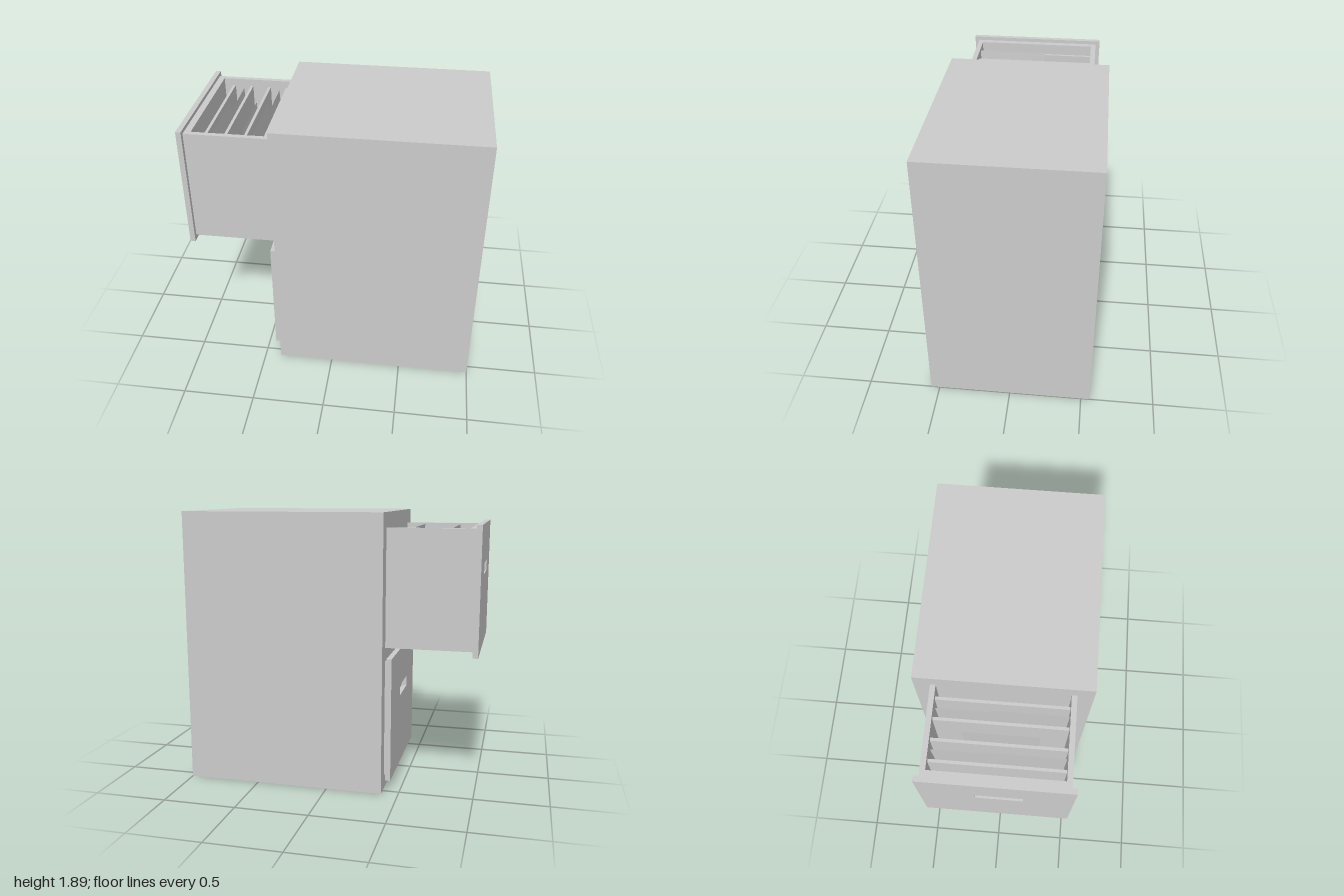
import * as THREE from 'three';

const material = new THREE.MeshStandardMaterial({ color: 0xcccccc, flatShading: true });
const sheetMaterial = new THREE.MeshStandardMaterial({ color: 0xcccccc, flatShading: true, side: THREE.DoubleSide });

// Box given by its min and max on each axis
function box(parent, name, [x0, x1], [y0, y1], [z0, z1]) {
  const mesh = new THREE.Mesh(new THREE.BoxGeometry(x1 - x0, y1 - y0, z1 - z0), material);
  mesh.position.set((x0 + x1) / 2, (y0 + y1) / 2, (z0 + z1) / 2);
  mesh.name = name;
  parent.add(mesh);
}

function rectangle(PathType, u0, u1, v0, v1) {
  return new PathType([[u0, v0], [u1, v0], [u1, v1], [u0, v1]].map(([u, v]) => new THREE.Vector2(u, v)));
}

// Drawer front with a slot cut through as a finger pull, facing -x
function drawerFront(parent, x, y) {
  const shape = rectangle(THREE.Shape, -0.485, 0.485, 0, 0.855);
  shape.holes.push(rectangle(THREE.Path, -0.13, 0.17, 0.51, 0.585));
  const geometry = new THREE.ExtrudeGeometry(shape, { depth: 0.036, bevelEnabled: false });
  const mesh = new THREE.Mesh(geometry, material);
  mesh.rotation.y = -Math.PI / 2;
  mesh.position.set(x + 0.036, y, 0);
  mesh.name = 'drawerFront';
  parent.add(mesh);
}

// Paper leaning towards -x at its top edge
function leaningSheet(parent, xTop, xBottom, yTop, z0, z1) {
  const yBottom = 1.03;
  const geometry = new THREE.PlaneGeometry(z1 - z0, yTop - yBottom);
  const p = geometry.attributes.position;
  for (let i = 0; i < p.count; i++) {
    const top = p.getY(i) > 0;
    p.setXYZ(i, top ? xTop : xBottom, top ? yTop : yBottom, (z0 + z1) / 2 - p.getX(i));
  }
  geometry.computeVertexNormals();
  const mesh = new THREE.Mesh(geometry, sheetMaterial);
  mesh.name = 'paperSheet';
  parent.add(mesh);
}

export function createModel() {
  const model = new THREE.Group();
  model.name = 'filingCabinet';

  box(model, 'cabinetBody', [-0.385, 1], [0, 1.89], [-0.56, 0.56]);

  // Open upper drawer
  const upper = new THREE.Group();
  upper.name = 'openDrawer';
  model.add(upper);
  drawerFront(upper, -1, 0.96);
  box(upper, 'drawerFloor', [-0.964, -0.385], [0.995, 1.03], [-0.455, 0.455]);
  box(upper, 'drawerInnerFront', [-0.964, -0.92], [1.03, 1.79], [-0.455, 0.455]);
  for (const s of [-1, 1]) {
    const z = [s * 0.42, s * 0.455].sort((a, b) => a - b);
    box(upper, 'drawerSide', [-0.92, -0.385], [1.03, 1.79], z);
  }

  // Upright dividers
  for (let i = 0; i < 4; i++) {
    const x = -0.86 + i * 0.132;
    box(upper, 'divider', [x, x + 0.02], [1.03, 1.74], [-0.42, 0.42]);
  }

  // Papers between the dividers
  for (const x of [-0.785, -0.521]) {
    leaningSheet(upper, x, x + 0.036, 1.78, -0.075, 0.415);
    leaningSheet(upper, x + 0.008, x + 0.042, 1.72, -0.415, -0.075);
  }
  leaningSheet(upper, -0.645, -0.61, 1.7, -0.24, 0.25);

  // Closed lower drawer
  const lower = new THREE.Group();
  lower.name = 'closedDrawer';
  model.add(lower);
  drawerFront(lower, -0.435, 0.07);
  box(lower, 'drawerBody', [-0.399, -0.38], [0.1, 0.9], [-0.455, 0.455]);

  return model;
}
